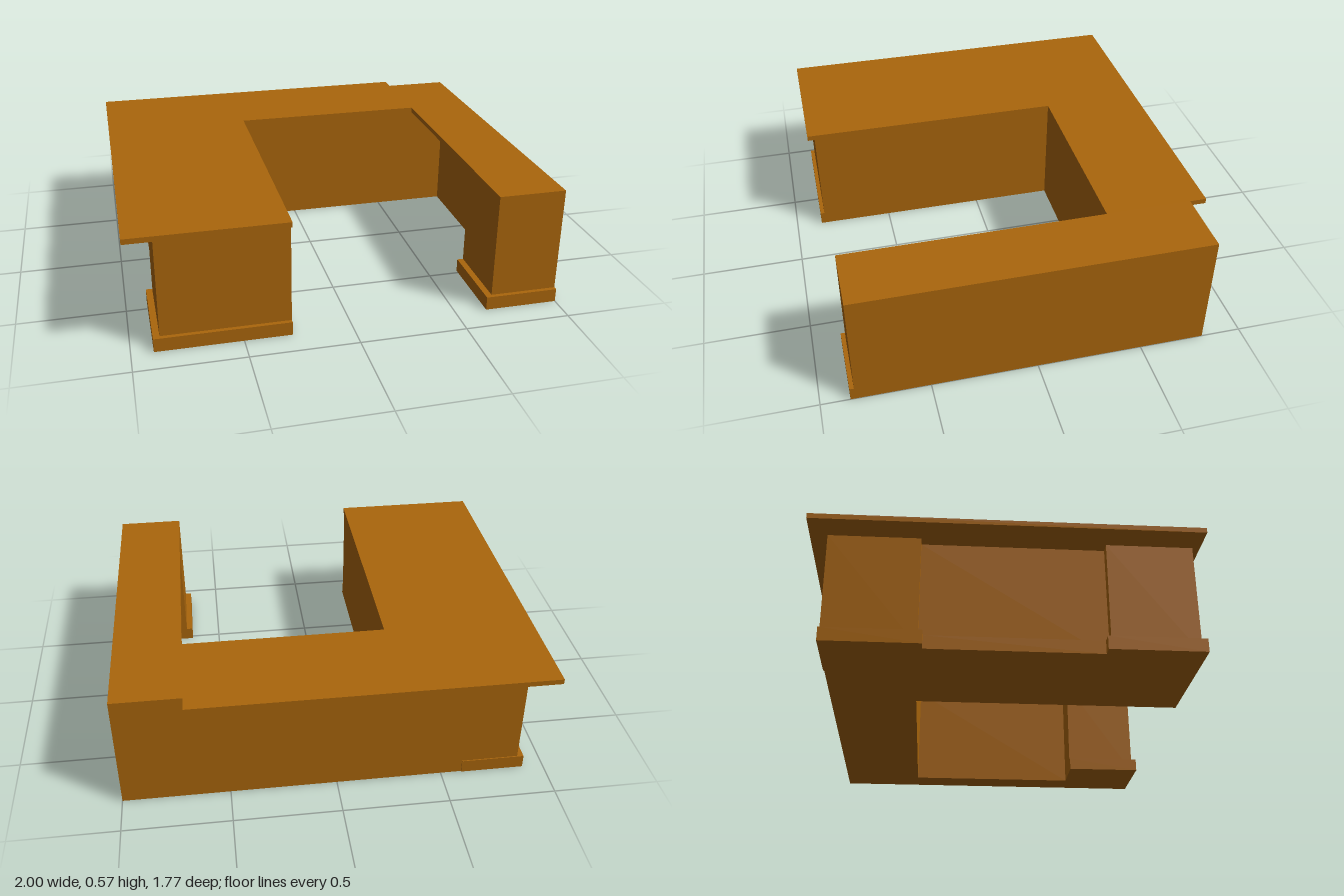
import * as THREE from 'three';

const wood = new THREE.MeshStandardMaterial({ color: 0xaa660c });

// Extrudes a floor plan of [x, z] corners between two heights.
function slab(name, plan, y0, y1) {
  const shape = new THREE.Shape(plan.map(([x, z]) => new THREE.Vector2(x, -z)));
  const geo = new THREE.ExtrudeGeometry(shape, { depth: y1 - y0, bevelEnabled: false });
  geo.rotateX(-Math.PI / 2).translate(0, y0, 0);
  const mesh = new THREE.Mesh(geo, wood);
  mesh.name = name;
  return mesh;
}

const rect = (x0, x1, z0, z1) => [[x0, z0], [x1, z0], [x1, z1], [x0, z1]];

export function createModel() {
  const desk = new THREE.Group();
  desk.name = 'uShapedCounter';
  const top = 0.57, under = 0.545, plinth = 0.065;

  // Cabinet walls, with a knee recess in the narrow wing and a recessed panel on the wide wing
  desk.add(slab('cabinetBody', [
    [-0.87, -0.81], [1, -0.81], [1, 0.845], [0.68, 0.845], [0.68, 0.48], [0.865, 0.48],
    [0.865, -0.4], [-0.28, -0.4], [-0.28, 0.85], [-0.87, 0.85], [-0.87, 0.45],
    [-0.82, 0.45], [-0.82, -0.39], [-0.87, -0.39],
  ], 0, under));

  // Worktop, overhanging the back and the wide wing
  desk.add(slab('worktop', [
    [-1, -0.89], [0.68, -0.89], [0.68, -0.81], [1, -0.81], [1, 0.845], [0.68, 0.845],
    [0.68, -0.4], [-0.28, -0.4], [-0.28, 0.885], [-1, 0.885],
  ], under, top));

  // Plinth trim around the feet of the blocks
  const trims = {
    backPlinth: rect(-0.9, -0.6, -0.815, -0.37),
    panelPlinth: rect(-0.85, -0.6, -0.37, 0.43),
    frontPlinth: rect(-0.9, -0.28, 0.43, 0.87),
    narrowWingPlinth: rect(0.65, 1, 0.48, 0.865),
  };
  for (const [name, plan] of Object.entries(trims)) desk.add(slab(name, plan, 0, plinth));

  return desk;
}
